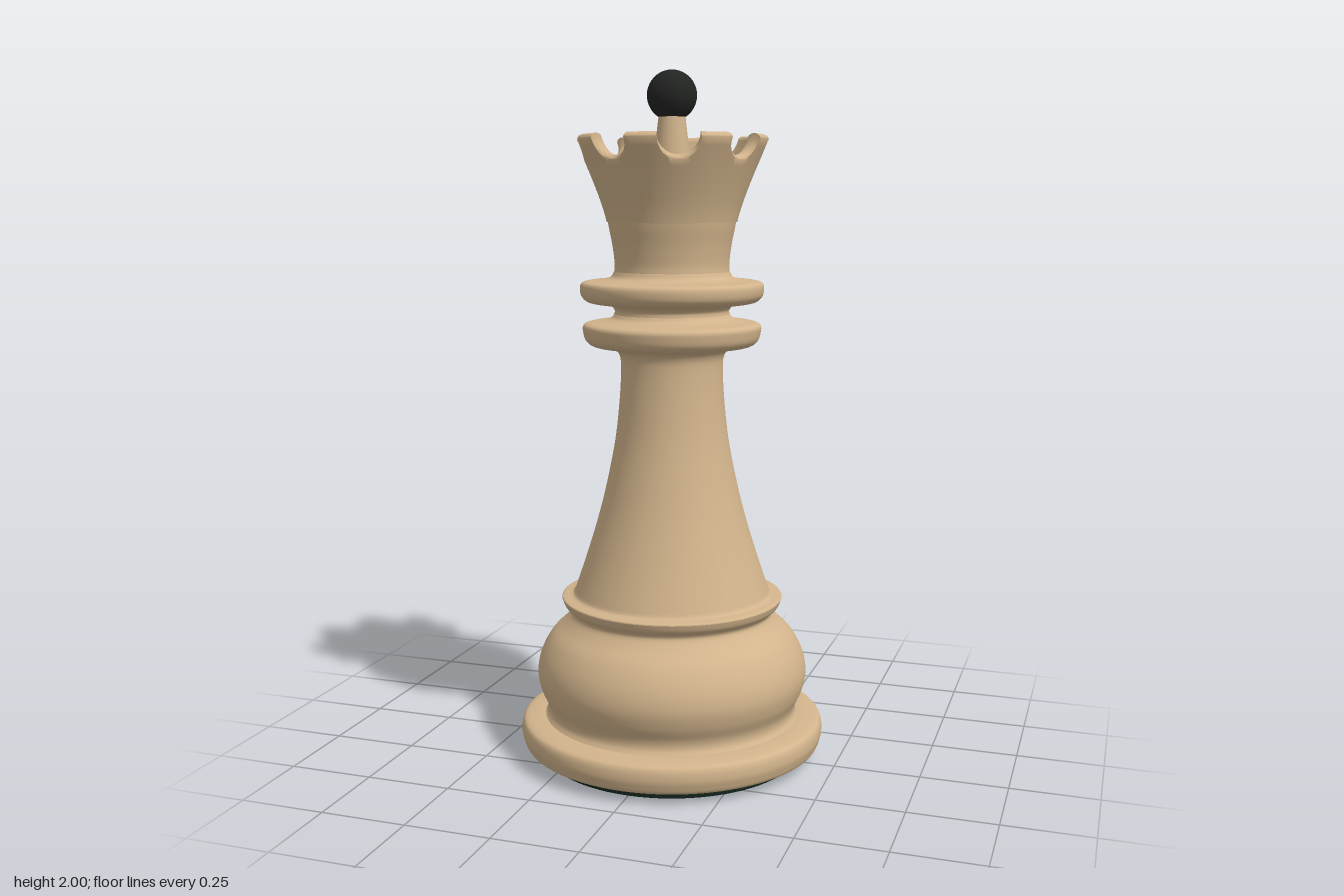
import * as THREE from 'three';
import { toCreasedNormals } from 'three/addons/utils/BufferGeometryUtils.js';

const wood = new THREE.MeshStandardMaterial({ color: 0xd2b48c });
const black = new THREE.MeshStandardMaterial({ color: 0x222422 });
const felt = new THREE.MeshStandardMaterial({ color: 0x14281e });

// Turned part: a smooth spline through [radius, height] points, listed bottom to top
function turned(name, points, material = wood, smooth = true) {
  let pts = points.map(([r, y]) => new THREE.Vector2(r, y));
  if (smooth) pts = new THREE.SplineCurve(pts).getPoints(points.length * 5);
  const mesh = new THREE.Mesh(new THREE.LatheGeometry(pts, 80), material);
  mesh.name = name;
  return mesh;
}

// Hollow flared crown with eight round notches cut radially through its rim
function crownGeometry() {
  const base = 1.575, floor = 1.62, top = 1.82, cut = 0.06, fillet = 0.014;
  const outer = (y) => 0.187 + 0.09 * Math.pow((y - base) / 0.235, 1.2);
  const inner = (y) => 0.165 + 0.07 * Math.pow((y - floor) / 0.19, 1.1);
  const sector = Math.PI / 4, notchSteps = 16, landSteps = 6;

  // Each column has a rim height and an angle that depends on the radius
  const columns = [];
  for (let k = 0; k < 8; k++) {
    const centre = (k + 0.5) * sector;
    const half = (d, r) => Math.asin(d / Math.max(r, 0.2));
    for (let i = 0; i <= notchSteps; i++) {
      const phi = Math.PI * (1 - i / notchSteps);
      columns.push({
        h: top - cut * Math.sin(phi),
        angle: (r) => centre + half(cut * Math.cos(phi), r),
      });
    }
    for (let i = 1; i < landSteps; i++) {
      columns.push({
        h: top,
        angle: (r) => THREE.MathUtils.lerp(centre + half(cut, r), centre + sector - half(cut, r), i / landSteps),
      });
    }
  }

  const positions = [], index = [];
  let rows = 0;
  for (const { h, angle } of columns) {
    const edge = h - fillet, section = [];
    for (let i = 0; i < 10; i++) {
      const y = THREE.MathUtils.lerp(base, edge, i / 10);
      section.push([outer(y), y]);
    }
    // rounded lip
    const ro = outer(edge), ri = inner(edge);
    for (let i = 0; i <= 10; i++) {
      const a = (Math.PI * i) / 10;
      section.push([(ro + ri) / 2 + ((ro - ri) / 2) * Math.cos(a), edge + fillet * Math.sin(a)]);
    }
    for (let i = 1; i <= 8; i++) {
      const y = THREE.MathUtils.lerp(edge, floor, i / 8);
      section.push([inner(y), y]);
    }
    section.push([0.03, floor]);
    rows = section.length;
    for (const [r, y] of section) {
      const a = angle(r);
      positions.push(r * Math.sin(a), y, r * Math.cos(a));
    }
  }
  const n = columns.length;
  for (let c = 0; c < n; c++) {
    for (let j = 0; j < rows - 1; j++) {
      const a = c * rows + j, b = ((c + 1) % n) * rows + j;
      index.push(a, b, a + 1, b, b + 1, a + 1);
    }
  }
  const geometry = new THREE.BufferGeometry();
  geometry.setAttribute('position', new THREE.Float32BufferAttribute(positions, 3));
  geometry.setIndex(index);
  return toCreasedNormals(geometry, 0.7);
}

export function createModel() {
  const group = new THREE.Group();
  group.name = 'chessQueen';

  // Felt pad and foot
  group.add(turned('feltPad', [[0, 0], [0.385, 0], [0.39, 0.005], [0.39, 0.03]], felt, false));
  group.add(turned('footUnderside', [[0.38, 0.027], [0.415, 0.027]], wood, false));
  group.add(turned('foot', [[0.415, 0.027], [0.437, 0.035], [0.446, 0.055], [0.45, 0.075],
    [0.447, 0.1], [0.435, 0.113], [0.4, 0.119], [0.375, 0.12]]));

  // Rounded belly and the collar above it
  group.add(turned('belly', [[0.38, 0.118], [0.37, 0.135], [0.372, 0.16], [0.39, 0.2], [0.4, 0.25],
    [0.39, 0.305], [0.36, 0.36], [0.32, 0.4], [0.3, 0.425], [0.302, 0.44], [0.318, 0.455], [0.326, 0.475]]));
  group.add(turned('collarTop', [[0.326, 0.475], [0.322, 0.48], [0.295, 0.485], [0.287, 0.495]]));

  // Tapered stem
  group.add(turned('stem', [[0.287, 0.495], [0.25, 0.605], [0.215, 0.72], [0.188, 0.83], [0.165, 0.95],
    [0.152, 1.07], [0.148, 1.16], [0.153, 1.195], [0.17, 1.213], [0.2, 1.219]]));

  // Two neck rings with a short waist between them
  group.add(turned('lowerRing', [[0.19, 1.218], [0.23, 1.222], [0.25, 1.238], [0.257, 1.262],
    [0.257, 1.278], [0.245, 1.287], [0.21, 1.292], [0.178, 1.3], [0.166, 1.313]]));
  group.add(turned('waist', [[0.166, 1.313], [0.166, 1.325], [0.178, 1.337], [0.2, 1.343]]));
  group.add(turned('upperRing', [[0.2, 1.343], [0.24, 1.347], [0.259, 1.361], [0.265, 1.38],
    [0.263, 1.398], [0.25, 1.406], [0.21, 1.41], [0.178, 1.418], [0.166, 1.435]]));
  group.add(turned('neck', [[0.166, 1.435], [0.165, 1.46], [0.171, 1.51], [0.18, 1.555], [0.184, 1.578]]));

  // Notched crown
  const crown = new THREE.Mesh(crownGeometry(), wood);
  crown.name = 'crown';
  group.add(crown);

  // Finial cone and ball
  group.add(turned('finialStem', [[0.068, 1.615], [0.036, 1.89]], wood, false));
  const ball = new THREE.Mesh(new THREE.SphereGeometry(0.071, 48, 32), black);
  ball.name = 'finialBall';
  ball.position.y = 1.929;
  group.add(ball);

  return group;
}
